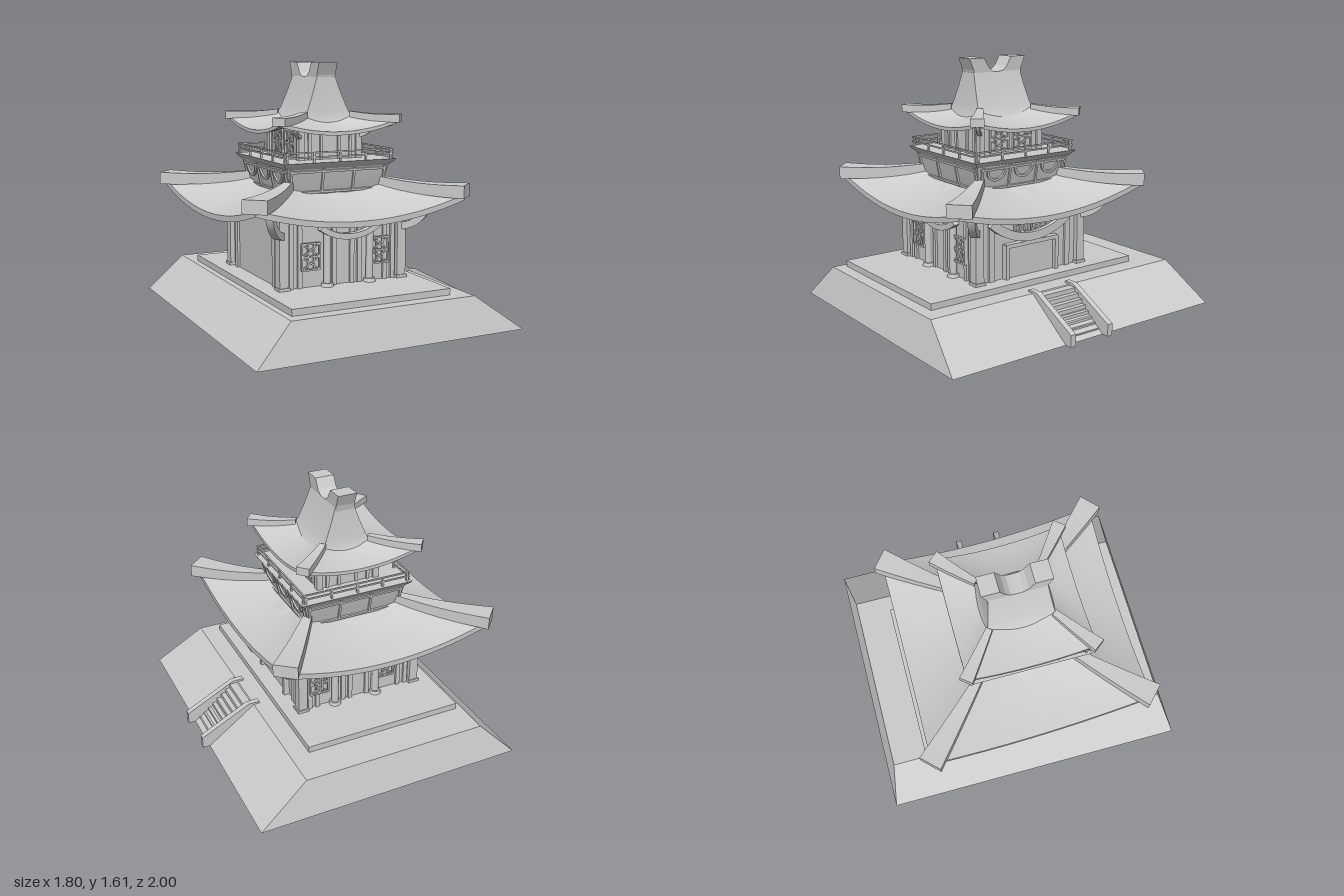
import * as THREE from 'three';
import { toCreasedNormals } from 'three/addons/utils/BufferGeometryUtils.js';

const CX = -0.095, CZ = 0.05; // centre of the tower
const lerp = THREE.MathUtils.lerp;
const grey = new THREE.MeshStandardMaterial({ color: 0xcccccc, side: THREE.DoubleSide });

function add(parent, name, geo, x = 0, y = 0, z = 0, ry = 0) {
  const m = new THREE.Mesh(geo, grey);
  m.name = name;
  m.position.set(x, y, z);
  m.rotation.y = ry;
  parent.add(m);
  return m;
}
const box = (parent, name, w, h, d, x, y, z) => add(parent, name, new THREE.BoxGeometry(w, h, d), x, y, z);

function group(parent, name, x = 0, y = 0, z = 0, ry = 0) {
  const g = new THREE.Group();
  g.name = name;
  g.position.set(x, y, z);
  g.rotation.y = ry;
  parent.add(g);
  return g;
}

function meshGeo(pos, idx, crease) {
  const g = new THREE.BufferGeometry();
  g.setAttribute('position', new THREE.Float32BufferAttribute(pos, 3));
  g.setIndex(idx);
  return toCreasedNormals(g, crease);
}

// Stack of rectangles: [y, x0, x1, z0, z1] from bottom to top
function loft(rects) {
  const pos = [], idx = [];
  rects.forEach(([y, x0, x1, z0, z1], k) => {
    pos.push(x0, y, z1, x1, y, z1, x1, y, z0, x0, y, z0);
    if (!k) return;
    for (let i = 0; i < 4; i++) {
      const a = (k - 1) * 4 + i, b = (k - 1) * 4 + (i + 1) % 4;
      idx.push(a, b, b + 4, a, b + 4, a + 4);
    }
  });
  const t = (rects.length - 1) * 4;
  idx.push(t, t + 1, t + 2, t, t + 2, t + 3, 0, 2, 1, 0, 3, 2);
  return meshGeo(pos, idx, 0.3);
}
const centred = rows => loft(rows.map(([y, hx, hz]) => [y, -hx, hx, -hz, hz]));

// Flat curved bar: part of a ring, extruded
function ring(r, t, a0, a1, depth) {
  const s = new THREE.Shape();
  s.absarc(0, 0, r, a0, a1, false);
  s.absarc(0, 0, r - t, a1, a0, true);
  const g = new THREE.ExtrudeGeometry(s, { depth, bevelEnabled: false, curveSegments: 16 });
  return g.translate(0, 0, -depth / 2);
}

// Sagging four-sided roof slab with a tapered beam on each hip
function roof(parent, name, o) {
  const g = group(parent, name), NU = 20, NV = 6;
  const prof = [];
  for (let j = 0; j <= NV; j++) prof.push([j / NV, 0]);
  for (let j = NV; j >= 0; j--) prof.push([j / NV, -o.thick]);
  for (let s = 0; s < 4; s++) {
    const n = (s + 1) % 4, pos = [], idx = [], P = prof.length;
    for (let i = 0; i <= NU; i++) {
      const t = i / NU, u2 = (2 * t - 1) ** 2;
      prof.forEach(([v, dy]) => {
        const at = c => lerp(lerp(o.inner[s][c], o.inner[n][c], t), lerp(o.outer[s][c], o.outer[n][c], t), v);
        const y = lerp(o.yIn + o.riseIn * u2, o.yOut + o.riseOut * u2, v) - o.dip * Math.sin(Math.PI * v);
        pos.push(at(0), y + dy, at(1));
      });
    }
    for (let i = 0; i < NU; i++) for (let j = 0; j < P - 1; j++) {
      const a = i * P + j, d = a + P;
      idx.push(a, a + 1, d + 1, a, d + 1, d);
    }
    add(g, 'roofPanel', meshGeo(pos, idx, 0.7));

    const [ix, iz] = o.inner[s], dx = o.outer[s][0] - ix, dz = o.outer[s][1] - iz;
    const len = Math.hypot(dx, dz) + 0.01, b = new THREE.BoxGeometry(1, 1, 1, 1, 1, 8), p = b.attributes.position;
    for (let i = 0; i < p.count; i++) {
      const t = p.getZ(i) + 0.5, top = p.getY(i) + 0.5;
      const y = lerp(o.yIn + o.riseIn, o.yOut + o.riseOut, t) - o.dip * Math.sin(Math.PI * t) - 0.02;
      p.setXYZ(i, p.getX(i) * lerp(o.beam[0], o.beam[1], t), y + top * lerp(o.beam[2], o.beam[3], t), t * len);
    }
    add(g, 'hipBeam', toCreasedNormals(b, 0.4), ix, 0, iz, Math.atan2(dx, dz));
  }
}

// Lattice window with crossed bars, centred, facing +z
function lattice(parent, w, h, x, y, z) {
  const g = group(parent, 'latticeWindow', x, y, z), t = 0.01;
  for (const s of [-1, 1]) {
    box(g, 'frameSide', t, h, 0.016, s * w / 2, 0, 0);
    box(g, 'frameRail', w, t, 0.016, 0, s * h / 2, 0);
    box(g, 'bar', t * 0.8, h, 0.01, s * w / 6, 0, 0);
    for (const e of [-1, 1])
      box(g, 'crossBar', t * 0.8, Math.hypot(w, h / 2), 0.01, 0, e * h / 4, 0).rotation.z = s * Math.atan2(w, h / 2);
  }
  box(g, 'midRail', w, t, 0.012, 0, 0, 0);
}

function cornerBraces(parent, hx, hz, y, r, t) {
  for (let k = 0; k < 4; k++) {
    const a = Math.PI / 4 + k * Math.PI / 2;
    add(parent, 'cornerBrace', ring(r, t, -Math.PI / 2, 0, t),
      Math.sign(Math.cos(a)) * hx, y, -Math.sign(Math.sin(a)) * hz, a);
  }
}

export function createModel() {
  const model = new THREE.Group();
  model.name = 'pagoda';

  // Sloping base and platform
  add(model, 'base', loft([[0, -0.89, 0.855, -1, 1], [0.23, -0.66, 0.54, -0.94, 0.935]]));
  box(model, 'platform', 1.04, 0.045, 1.57, -0.1, 0.2475, 0.07);

  // Stairs with side rails
  const stairs = group(model, 'stairs');
  const N = 8;
  for (let i = 0; i < N; i++) {
    const h = 0.225 * (N - i) / N, x1 = 0.6 + 0.032 * i;
    box(stairs, 'step', 0.1, h, 0.26, x1 - 0.05, h / 2, 0.045);
  }
  const side = new THREE.Shape([[0.5, 0], [0.9, 0], [0.9, 0.075], [0.575, 0.243], [0.5, 0.243]].map(p => new THREE.Vector2(...p)));
  for (const z of [-0.118, 0.17])
    add(stairs, 'stairRail', new THREE.ExtrudeGeometry(side, { depth: 0.037, bevelEnabled: false }), 0, 0, z);

  const tower = group(model, 'tower', CX, 0, CZ);

  // Lower hall: walls, corner posts and pilasters
  const hall = group(tower, 'lowerHall');
  box(hall, 'wall', 0.8, 0.49, 0.8, 0, 0.505, 0);
  for (const sx of [-1, 1]) for (const sz of [-1, 1]) {
    box(hall, 'cornerPost', 0.06, 0.52, 0.06, sx * 0.4, 0.52, sz * 0.4);
    box(hall, 'postFoot', 0.075, 0.018, 0.075, sx * 0.4, 0.279, sz * 0.4);
    for (const d of [0.345, 0.29, 0.11, 0.06])
      box(hall, 'pilaster', 0.028, 0.48, 0.02, sx * d, 0.51, sz * 0.405);
    box(hall, 'sidePilaster', 0.02, 0.48, 0.04, sx * 0.405, 0.51, sz * 0.3);
  }
  for (const s of [-1, 1]) {
    const face = group(hall, s > 0 ? 'frontFace' : 'backFace', 0.03, 0, 0, s > 0 ? 0 : Math.PI);
    for (const x of [-0.145, 0.145]) {
      add(face, 'column', new THREE.CylinderGeometry(0.023, 0.023, 0.46, 16), x, 0.5, 0.425);
      add(face, 'columnFoot', new THREE.CylinderGeometry(0.034, 0.04, 0.022, 16), x, 0.281, 0.425);
    }
    for (const e of [-1, 1]) lattice(face, 0.12, 0.16, e * 0.235 - 0.02, 0.46, 0.425);
    add(face, 'curvedBeam', ring(0.35, 0.035, -Math.PI / 2 - 0.64, -Math.PI / 2 + 0.64, 0.04), 0, 0.9, 0.44);
  }
  cornerBraces(hall, 0.4, 0.4, 0.785, 0.21, 0.045);

  // Entrance on the stair side
  const door = group(hall, 'entrance', 0, 0, 0, Math.PI / 2);
  box(door, 'doorLeaf', 0.38, 0.2, 0.015, 0, 0.37, 0.403);
  box(door, 'lintel', 0.41, 0.025, 0.045, 0, 0.482, 0.415);
  for (const s of [-1, 1]) {
    box(door, 'jamb', 0.026, 0.22, 0.045, s * 0.195, 0.38, 0.415);
    lattice(door, 0.11, 0.12, s * 0.065, 0.61, 0.41);
  }
  add(door, 'curvedBeam', ring(0.49, 0.055, -Math.PI / 2 - 0.75, -Math.PI / 2 + 0.75, 0.03), 0, 0.985, 0.43);

  // Lower roof
  roof(tower, 'lowerRoof', {
    inner: [[-0.3, 0.3], [0.3, 0.3], [0.3, -0.3], [-0.3, -0.3]],
    outer: [[-0.695, 0.71], [0.675, 0.71], [0.64, -0.73], [-0.745, -0.73]],
    yIn: 0.82, yOut: 0.705, riseIn: 0.05, riseOut: 0.11, dip: 0.015, thick: 0.035,
    beam: [0.05, 0.15, 0.055, 0.08]
  });
  add(tower, 'roofCollar', new THREE.CylinderGeometry(0.3, 0.48, 0.09, 48, 1, true), 0, 0.785, 0);

  // Flared middle storey
  const mid = group(tower, 'middleStorey');
  add(mid, 'flaredWall', centred([[0.78, 0.3, 0.305], [0.82, 0.31, 0.32], [0.98, 0.345, 0.355]]));
  for (let k = 0; k < 4; k++) {
    const face = group(mid, 'storeyFace', 0, 0, 0, k * Math.PI / 2);
    const panel = group(face, 'panels', 0, 0.9, k % 2 ? 0.331 : 0.342);
    panel.rotation.x = 0.2;
    box(panel, 'topRail', 0.66, 0.015, 0.012, 0, 0.06, 0);
    box(panel, 'bottomRail', 0.62, 0.015, 0.012, 0, -0.07, 0);
    for (const x of [-0.315, -0.105, 0.105, 0.315]) box(panel, 'divider', 0.014, 0.15, 0.014, x, 0, 0);
    if (k % 2) for (const x of [-0.21, 0, 0.21])
      add(panel, 'hangingArch', ring(0.075, 0.016, Math.PI, 2 * Math.PI, 0.016), x, 0.055, 0);
  }

  // Balcony with railing
  const balcony = group(tower, 'balcony');
  add(balcony, 'balconyFloor', centred([[0.97, 0.335, 0.35], [1.0, 0.37, 0.38], [1.015, 0.38, 0.39]]));
  for (const s of [-1, 1]) {
    for (const y of [1.047, 1.075]) {
      box(balcony, 'rail', 0.73, 0.009, 0.009, 0, y, s * 0.37);
      box(balcony, 'rail', 0.009, 0.009, 0.76, s * 0.36, y, 0);
    }
    for (let i = 0; i <= 4; i++) {
      box(balcony, 'railPost', 0.012, 0.065, 0.012, -0.35 + i * 0.175, 1.045, s * 0.37);
      box(balcony, 'railPost', 0.012, 0.065, 0.012, s * 0.36, 1.045, -0.36 + i * 0.18);
    }
  }

  // Upper room
  const room = group(tower, 'upperRoom');
  box(room, 'wall', 0.4, 0.225, 0.46, 0, 1.115, 0);
  for (const sx of [-1, 1]) for (const sz of [-1, 1]) {
    box(room, 'cornerPost', 0.04, 0.225, 0.04, sx * 0.195, 1.115, sz * 0.225);
    for (const d of [0.14, 0.06]) box(room, 'pilaster', 0.02, 0.21, 0.016, sx * d, 1.115, sz * 0.232);
  }
  for (const s of [-1, 1]) {
    const face = group(room, 'windowFace', 0, 0, 0, s * Math.PI / 2);
    for (const x of [-0.09, 0.09]) lattice(face, 0.14, 0.16, x, 1.11, 0.205);
  }
  cornerBraces(room, 0.2, 0.23, 1.245, 0.1, 0.022);

  // Upper roof
  roof(tower, 'upperRoof', {
    inner: [[-0.155, 0.2], [0.155, 0.2], [0.155, -0.2], [-0.155, -0.2]],
    outer: [[-0.41, 0.395], [0.395, 0.39], [0.38, -0.405], [-0.415, -0.405]],
    yIn: 1.25, yOut: 1.195, riseIn: 0.035, riseOut: 0.065, dip: 0.008, thick: 0.022,
    beam: [0.04, 0.085, 0.04, 0.05]
  });

  // Steep cap and horned ridge
  add(tower, 'roofCap', centred([[1.23, 0.19, 0.23], [1.26, 0.165, 0.215], [1.32, 0.135, 0.203], [1.42, 0.095, 0.19], [1.515, 0.063, 0.18]]));
  const half = [[0.178, 1.49], [0.185, 1.53], [0.215, 1.605], [0.105, 1.605], [0.07, 1.545], [0.04, 1.52], [0, 1.512]];
  const horn = new THREE.Shape([...half, ...half.slice(0, -1).reverse().map(([z, y]) => [-z, y])].map(p => new THREE.Vector2(...p)));
  const ridge = new THREE.ExtrudeGeometry(horn, { depth: 0.126, bevelEnabled: false }).translate(0, 0, -0.063);
  add(tower, 'hornedRidge', ridge, 0, 0, -0.005, Math.PI / 2);

  return model;
}
